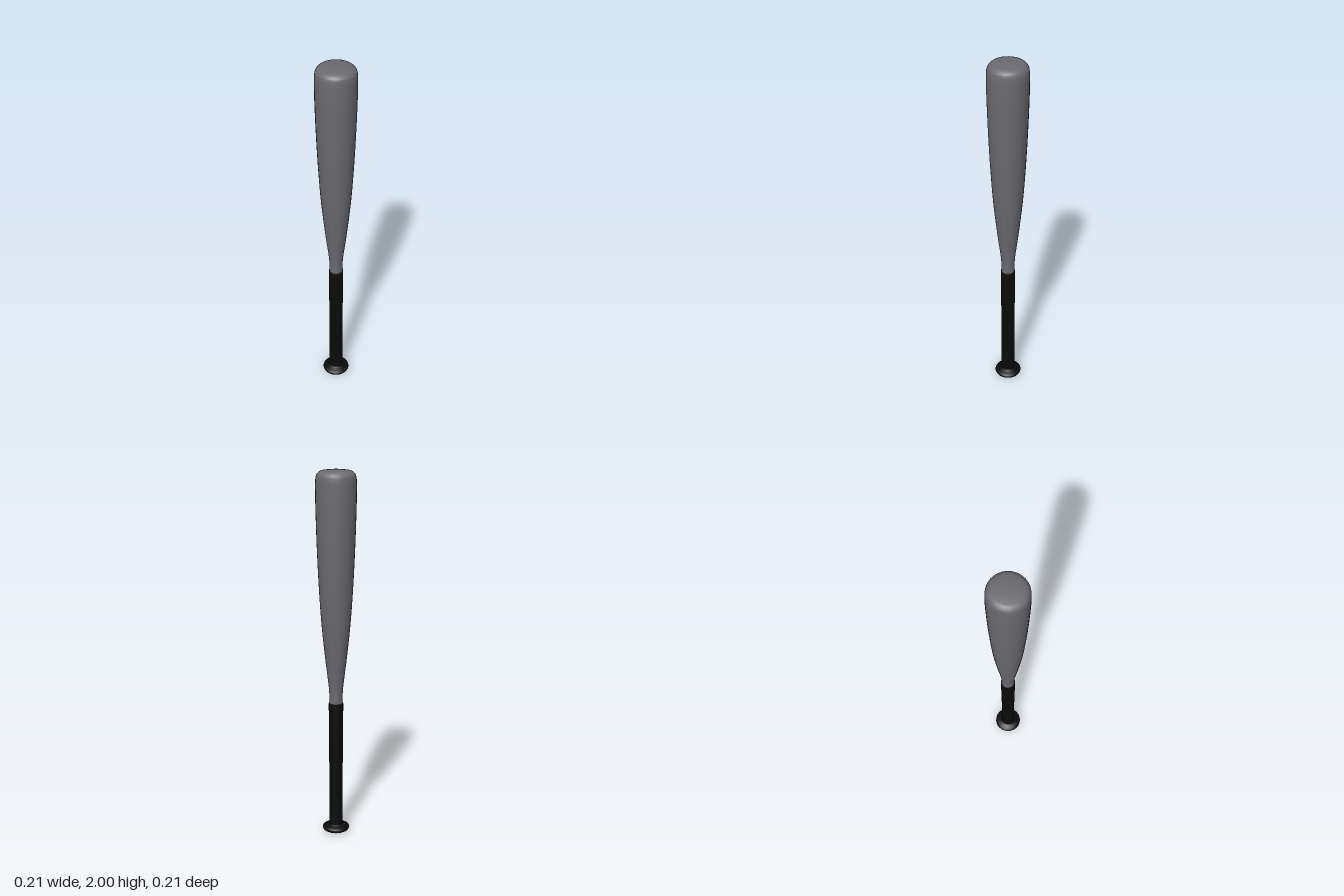
import * as THREE from 'three';

const SEGMENTS = 32;

// Smooth profile of [radius, height] points, bottom to top, spun around y
function turned(name, points, color, samples = 0) {
  let profile = points.map(([r, y]) => new THREE.Vector2(r, y));
  if (samples) profile = new THREE.SplineCurve(profile).getPoints(samples);
  const mesh = new THREE.Mesh(
    new THREE.LatheGeometry(profile, SEGMENTS),
    new THREE.MeshStandardMaterial({ color })
  );
  mesh.name = name;
  return mesh;
}

export function createModel() {
  const bat = new THREE.Group();
  bat.name = 'bat';
  const metal = 0x6a6a70;
  const black = 0x0b0b0b;

  // Flared knob with a shallow domed underside
  bat.add(turned('knob', [
    [0, 0], [0.035, 0.002], [0.06, 0.006], [0.07, 0.012], [0.074, 0.021],
    [0.071, 0.029], [0.06, 0.035], [0.045, 0.039], [0.037, 0.046],
  ], black));

  // Wrapped handle with a rolled top edge
  bat.add(turned('grip', [
    [0.037, 0.04], [0.037, 0.38], [0.038, 0.5], [0.0395, 0.72],
    [0.0395, 0.745], [0.038, 0.75], [0.03, 0.75],
  ], black));

  // Slim neck swelling into the barrel, rounded at the shoulder
  bat.add(turned('barrel', [
    [0.037, 0.745], [0.036, 0.79], [0.039, 0.84], [0.047, 0.91], [0.058, 1.0],
    [0.078, 1.2], [0.091, 1.4], [0.1, 1.6], [0.106, 1.8], [0.107, 1.9],
    [0.1065, 1.94], [0.104, 1.963], [0.1, 1.975],
  ], metal, 48));

  // Shallow domed end cap
  bat.add(turned('endCap', [
    [0.1, 1.975], [0.094, 1.983], [0.085, 1.99], [0.072, 1.995],
    [0.038, 1.999], [0, 2],
  ], metal));

  return bat;
}
